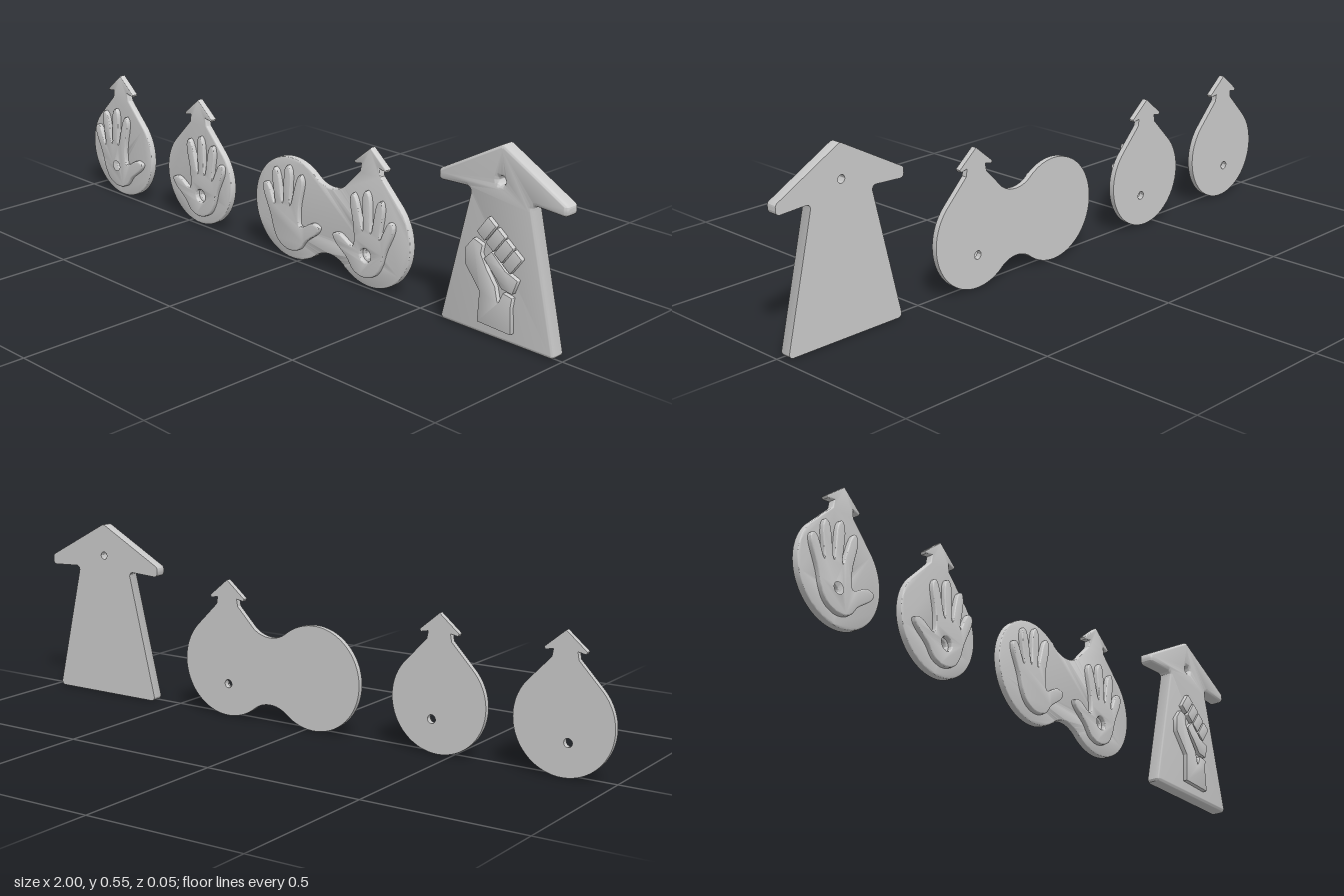
import * as THREE from 'three';
import { toCreasedNormals } from 'three/addons/utils/BufferGeometryUtils.js';

const material = new THREE.MeshStandardMaterial({ color: 0xcccccc });
const BACK = -0.027;
const V = (x, y) => new THREE.Vector2(x, y);

// Extrusion with a rounded front edge and a flat, sharp-edged back
function plate(name, shape, z0, z1, bevel, segments = 4) {
  const raw = new THREE.ExtrudeGeometry(shape, {
    depth: z1 - z0 - bevel, steps: 1, curveSegments: 32,
    bevelEnabled: true, bevelThickness: bevel, bevelSize: bevel,
    bevelOffset: -bevel, bevelSegments: segments,
  });
  const p = raw.attributes.position;
  for (let i = 0; i < p.count; i++) p.setZ(i, Math.max(p.getZ(i), 0));
  raw.translate(0, 0, z0);
  const mesh = new THREE.Mesh(toCreasedNormals(raw, 0.6), material);
  mesh.name = name;
  return mesh;
}

function addHole(shape, x, y, r) {
  const hole = new THREE.Path();
  hole.absarc(x, y, r, 0, Math.PI * 2, true);
  shape.holes.push(hole);
}

// Polygon whose corners are replaced by tangent arcs
function roundPoly(points, r) {
  const shape = new THREE.Shape();
  const n = points.length;
  points.forEach((p, i) => {
    const a = points[(i + n - 1) % n].clone().sub(p).normalize();
    const b = points[(i + 1) % n].clone().sub(p).normalize();
    const half = Math.acos(THREE.MathUtils.clamp(a.dot(b), -1, 1)) / 2;
    const c = a.clone().add(b).normalize().multiplyScalar(r / Math.sin(half)).add(p);
    const s = a.clone().multiplyScalar(r / Math.tan(half)).add(p);
    const e = b.clone().multiplyScalar(r / Math.tan(half)).add(p);
    if (i === 0) shape.moveTo(s.x, s.y);
    shape.absarc(c.x, c.y, r, Math.atan2(s.y - c.y, s.x - c.x),
      Math.atan2(e.y - c.y, e.x - c.x), a.cross(b) > 0);
  });
  shape.closePath();
  return shape;
}

// One side of the small arrowhead, from the tip down to the neck
const headSide = (cx, cy, tip, side) => [
  [0, tip], [0.064, tip - 0.053], [0.06, tip - 0.06], [0.036, tip - 0.055], [0.04, tip - 0.078],
].map(([x, y]) => V(cx + side * x, cy + y));

// Round tag with an arrowhead on top
function tagShape(cx, r) {
  const shape = new THREE.Shape();
  const left = headSide(cx, r, 0.257, -1);
  shape.moveTo(left[0].x, left[0].y);
  left.slice(1).forEach((p) => shape.lineTo(p.x, p.y));
  shape.absarc(cx, r, r, Math.PI * 0.75, Math.PI * 2.25, false);
  headSide(cx, r, 0.257, 1).slice(1).reverse().forEach((p) => shape.lineTo(p.x, p.y));
  shape.closePath();
  return shape;
}

// Two discs joined by a waist, with an arrowhead on the right-hand one
function doubleTagShape(x1, x2, r) {
  const mid = (x1 + x2) / 2, a = 0.897, fillet = 0.0966, dy = 0.2006, PI = Math.PI;
  const shape = new THREE.Shape();
  const left = headSide(x2, r, 0.264, -1);
  shape.moveTo(left[0].x, left[0].y);
  left.slice(1).forEach((p) => shape.lineTo(p.x, p.y));
  shape.absarc(mid, r + dy, fillet, -a, a - PI, true);
  shape.absarc(x1, r, r, a, 2 * PI - a, false);
  shape.absarc(mid, r - dy, fillet, PI - a, a, true);
  shape.absarc(x2, r, r, PI + a, PI * 2.25, false);
  headSide(x2, r, 0.264, 1).slice(1).reverse().forEach((p) => shape.lineTo(p.x, p.y));
  shape.closePath();
  return shape;
}

// Open hand outline in hundredths: wrist, four fingers, thumb
const HAND = [
  [-5.3, -10.7], [-7.5, -7.5], [-9.1, -2.7], [-12.3, 4.8], [-12, 6.7], [-10.4, 6.9], [-7.2, 1.1],
  [-8.3, 10.1], [-7.5, 12.5], [-6, 11.7], [-3.7, 2.1],
  [-2.9, 12.8], [-1.6, 14.4], [-0.3, 12.8], [-0.5, 2.1],
  [2.4, 11.2], [3.7, 12.5], [4.8, 10.7], [3.2, 1.6], [3.7, -3.7],
  [9.1, -1.3], [11.7, -2.1], [10.9, -4], [5.9, -8], [3.2, -11.2], [-1.1, -12.3],
];

function hand(name, cx, cy, side, pierced) {
  const curve = new THREE.CatmullRomCurve3(
    HAND.map(([x, y]) => new THREE.Vector3(cx + side * x / 100, cy + y / 100, 0)), true, 'centripetal');
  const shape = new THREE.Shape(curve.getPoints(130).slice(0, -1).map((p) => V(p.x, p.y)));
  if (pierced) addHole(shape, cx - side * 0.016, 0.1, 0.021);
  return plate(name, shape, -0.008, 0.007, 0.004, 3);
}

// Raised fist in hundredths, measured from the arrow's centre line
const FIST = {
  wristAndHand: [[-5.3, 4], [-4.8, 13], [-10.1, 19.5], [-10.1, 24.3], [-7.5, 27.5], [-4.3, 26.4], [-4.8, 23.7],
    [-2.7, 20], [0.5, 15.7], [1.6, 11], [3.2, 14.7], [6.4, 14.1], [5.9, 10.9], [6.4, 3.5]],
  thumb: [[-3.7, 22.7], [-1.1, 25.3], [3.7, 21.1], [8, 19.5], [6.4, 15.2], [2.7, 15.7], [0, 18.9]],
};
const FINGERS = [[-3.2, 31.2], [0, 28.9], [2.9, 26.5], [5.9, 24.2]];

function fist(cx) {
  const group = new THREE.Group();
  group.name = 'raisedFist';
  const add = (name, pts) => group.add(plate(name,
    roundPoly(pts.map(([x, y]) => V(cx + x / 100, y / 100)), 0.0025), 0.012, 0.028, 0.0015, 2));
  Object.entries(FIST).forEach(([name, pts]) => add(name, pts));
  // Folded fingers stepping down the diagonal
  FINGERS.forEach(([x, y], i) => add('finger' + (i + 1),
    [[-1, -1], [1, -1], [1, 1], [-1, 1]].map(([u, v]) =>
      [x + u * 1.7 * 0.8 + v * 3.1 * 0.6, y - u * 1.7 * 0.6 + v * 3.1 * 0.8])));
  return group;
}

export function createModel() {
  const model = new THREE.Group();
  model.name = 'signTags';
  const front = -0.007;

  // Two single-hand tags, mirrored hands
  [[-0.846, -0.846, 1, 'first'], [-0.456, -0.451, -1, 'second']].forEach(([cx, hx, side, name]) => {
    const shape = tagShape(cx, 0.153);
    addHole(shape, hx - side * 0.016, 0.1, 0.013);
    model.add(plate(name + 'Tag', shape, BACK, front, 0.005));
    model.add(hand(name + 'Hand', hx, 0.153, side, true));
  });

  // Double tag with a pair of hands
  const pair = doubleTagShape(-0.03, 0.29, 0.16);
  addHole(pair, 0.288, 0.1, 0.013);
  model.add(plate('doubleTag', pair, BACK, front, 0.005));
  model.add(hand('doubleTagRightHand', -0.02, 0.153, 1, false));
  model.add(hand('doubleTagLeftHand', 0.272, 0.153, -1, true));

  // Large arrow plate with a fist
  const cx = 0.782;
  const half = [[0.218, 0.433], [0.218, 0.402], [0.102, 0.408], [0.2, 0]];
  const arrow = roundPoly([
    V(cx, 0.551),
    ...half.map(([x, y]) => V(cx - x, y)),
    ...half.slice().reverse().map(([x, y]) => V(cx + x, y)),
  ], 0.0125);
  addHole(arrow, cx, 0.45, 0.012);
  model.add(plate('arrowPlate', arrow, BACK, 0.014, 0.012, 6));
  model.add(fist(cx));

  return model;
}
